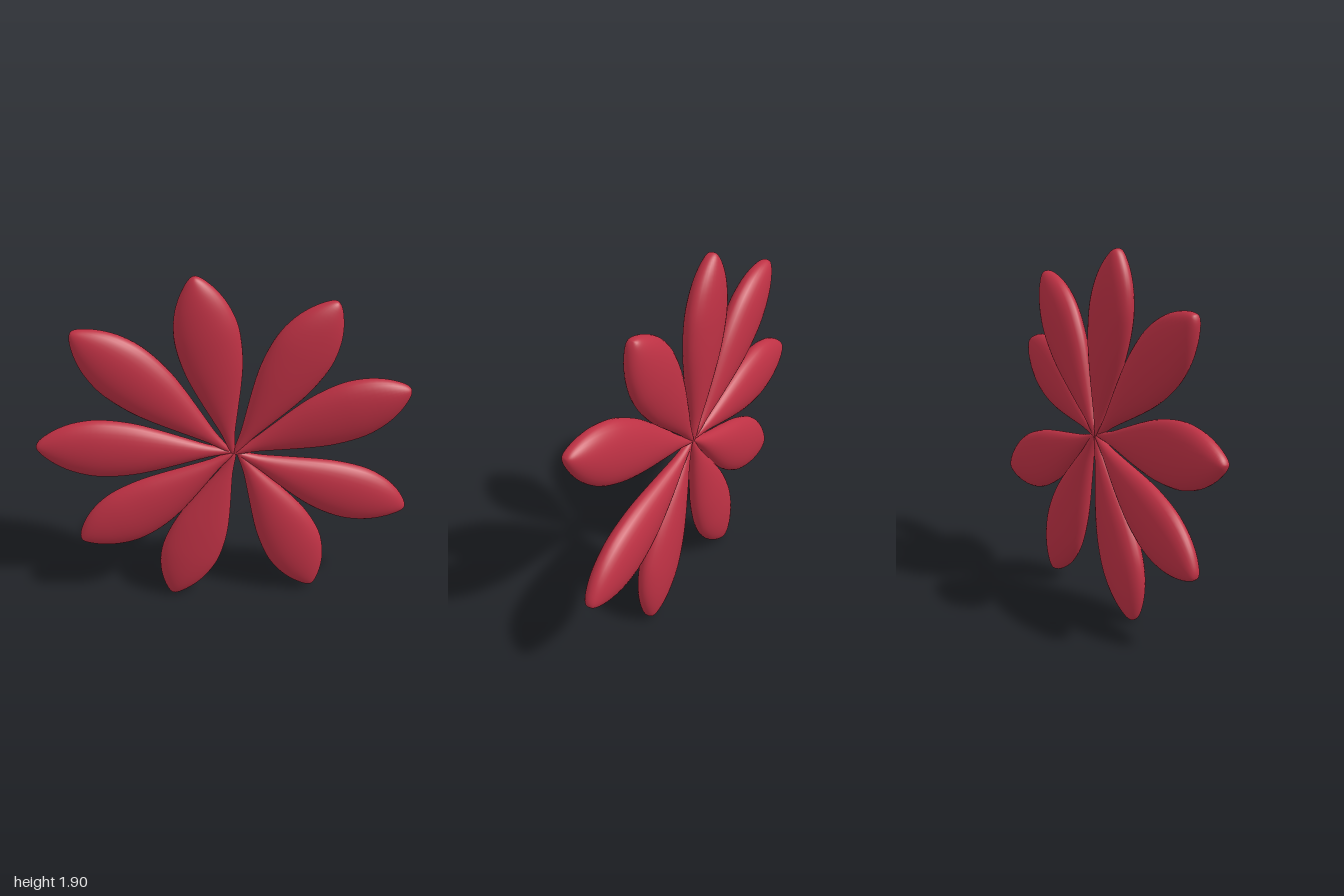
import * as THREE from 'three';
import { mergeVertices } from 'three/addons/utils/BufferGeometryUtils.js';

// petal half-width along its length: [fraction of length, half-width]
const PROFILE = [
  [0, 0], [0.005, 0.012], [0.12, 0.036], [0.25, 0.077], [0.38, 0.118], [0.5, 0.149], [0.62, 0.164],
  [0.72, 0.162], [0.82, 0.138], [0.9, 0.1], [0.96, 0.056], [0.99, 0.024], [1, 0],
];
const HALF_DEPTH = 0.08;
const MAX_WIDTH = 0.164;

// base x, y, z; tip x, y, z; sideways bow of the middle
const PETALS = [
  [0.03, 0.92, -0.04, -0.16, 1.9, -0.04, 0],
  [0.04, 0.92, -0.04, 0.55, 1.755, -0.04, 0],
  [0.04, 0.92, -0.04, 0.93, 1.32, 0.075, 0],
  [0.05, 0.92, -0.04, 0.995, 0.535, -0.04, 0.02],
  [0.06, 0.92, -0.04, 0.49, 0.025, -0.04, -0.022],
  [0.04, 0.92, -0.04, -0.315, 0.005, -0.04, 0],
  [0.03, 0.92, -0.04, -0.81, 0.405, -0.04, -0.022],
  [0.02, 0.93, -0.04, -1.0, 1.0, -0.04, -0.006],
  [0.01, 0.935, -0.04, -0.77, 1.63, -0.04, 0],
];

// flattened, slightly bowed teardrop running from y = 0 to y = length
function petalGeometry(length, bow) {
  const curve = new THREE.SplineCurve(PROFILE.map(([t, w]) => new THREE.Vector2(w, t)));
  const points = curve.getPoints(36).map((p) => new THREE.Vector2(Math.max(p.x, 0), p.y));
  let geometry = new THREE.LatheGeometry(points, 32);
  geometry.deleteAttribute('uv');
  geometry.deleteAttribute('normal');
  geometry = mergeVertices(geometry, 1e-5);
  const pos = geometry.attributes.position;
  for (let i = 0; i < pos.count; i++) {
    const x = pos.getX(i), t = pos.getY(i), z = pos.getZ(i);
    const r = Math.hypot(x, z);
    const depth = r > 1e-6 ? (z / r) * HALF_DEPTH * Math.pow(r / MAX_WIDTH, 0.6) : 0;
    pos.setXYZ(i, x + bow * Math.sin(Math.PI * t), t * length, depth);
  }
  geometry.computeVertexNormals();
  return geometry;
}

export function createModel() {
  const group = new THREE.Group();
  group.name = 'flower';
  const red = new THREE.MeshStandardMaterial({ color: 0xbe3144 });
  red.name = 'petal red';

  PETALS.forEach(([bx, by, bz, tx, ty, tz, bow], i) => {
    const base = new THREE.Vector3(bx, by, bz);
    const along = new THREE.Vector3(tx, ty, tz).sub(base);
    const length = along.length();
    along.normalize();
    const across = along.clone().cross(new THREE.Vector3(0, 0, 1)).normalize();
    const out = across.clone().cross(along);

    const petal = new THREE.Mesh(petalGeometry(length, bow), red);
    petal.name = `petal${i + 1}`;
    petal.quaternion.setFromRotationMatrix(new THREE.Matrix4().makeBasis(across, along, out));
    petal.position.copy(base);
    group.add(petal);
  });
  return group;
}
